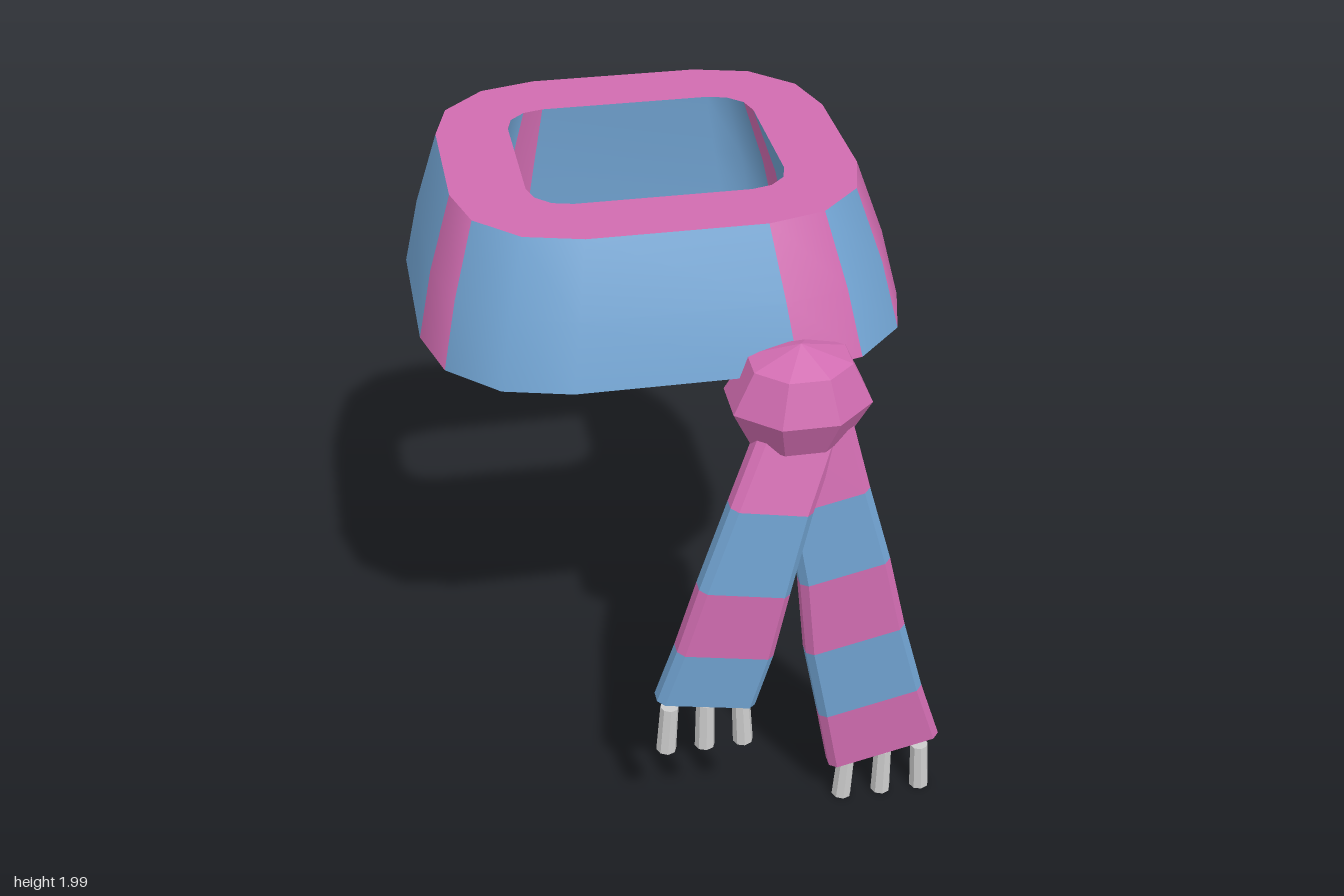
import * as THREE from 'three';

const mat = (color, flatShading = false) => new THREE.MeshStandardMaterial({ color, flatShading });
const BLUE = 0x70a2d0, PINK = 0xd06cb0, GREY = 0xcccccc;

function addMesh(parent, name, geometry, material) {
  const mesh = new THREE.Mesh(geometry, material);
  mesh.name = name;
  parent.add(mesh);
  return mesh;
}

// Skin a stack of closed rings, listed bottom to top; triangles are grouped by colour per column
function loft(rings, { closeEnds = false, colorOf = () => 0 } = {}) {
  const n = rings[0].length, index = [];
  const geo = new THREE.BufferGeometry().setFromPoints(rings.flat());
  for (let i = 0; i < n; i++) {
    const j = (i + 1) % n, start = index.length;
    for (let r = 0; r < rings.length - 1; r++) {
      const a = r * n, b = a + n;
      index.push(a + i, b + i, b + j, a + i, b + j, a + j);
    }
    if (closeEnds && i > 0 && i < n - 1) {
      const t = (rings.length - 1) * n;
      index.push(0, i, j, t, t + j, t + i);
    }
    geo.addGroup(start, index.length - start, colorOf(i));
  }
  geo.setIndex(index);
  geo.computeVertexNormals();
  return geo;
}

// Rounded rectangle with three facets on each corner
function collarRing({ y, hx, hz, r, z }, inset) {
  const pts = [];
  [[1, 1], [-1, 1], [-1, -1], [1, -1]].forEach(([sx, sz], c) => {
    for (let j = 0; j < 4; j++) {
      const a = (c * 3 + j) * Math.PI / 6;
      pts.push(new THREE.Vector3(
        -0.045 + sx * hx + (r - inset) * Math.cos(a), y,
        z + sz * hz + (r - inset) * Math.sin(a)));
    }
  });
  return pts;
}

function makeCollar() {
  const collar = new THREE.Group();
  collar.name = 'collar';
  const levels = [
    { y: 1.59, hx: 0.33, hz: 0.25, r: 0.405, z: -0.094 },
    { y: 1.79, hx: 0.298, hz: 0.233, r: 0.39, z: -0.12 },
    { y: 2.0, hx: 0.265, hz: 0.213, r: 0.35, z: -0.16 },
  ];
  const outer = levels.map(l => collarRing(l, 0));
  const inner = levels.map(l => collarRing(l, 0.225)).reverse();
  const pinkColumns = [0, 2, 6, 8, 10, 14];
  const colorOf = i => (pinkColumns.includes(i) ? 1 : 0);
  const wall = [mat(BLUE), mat(PINK)];
  addMesh(collar, 'collarOuterWall', loft(outer, { colorOf }), wall);
  addMesh(collar, 'collarInnerWall', loft(inner, { colorOf }), wall);
  addMesh(collar, 'collarTop', loft([outer[2], inner[0]]), [mat(PINK)]);
  addMesh(collar, 'collarUnderside', loft([inner[2], outer[0]]), [mat(PINK)]);
  return collar;
}

// Chamfered flat band cross-section, tilted in the front plane
function bandRing([x, y, z, width], tilt) {
  const w = width / 2, t = 0.043, c = 0.022;
  return [[w, -t + c], [w, t - c], [w - c, t], [c - w, t],
    [-w, t - c], [-w, c - t], [c - w, -t], [w - c, -t]]
    .map(([u, v]) => new THREE.Vector3(x + u * Math.cos(tilt), y + u * Math.sin(tilt), z + v));
}

// Hanging end: stations [x, y, z, width] from bottom to top, one stripe between each pair
function makeTail(name, stations, tilt, colors, fringe) {
  const tail = new THREE.Group();
  tail.name = name;
  const rings = stations.map(s => bandRing(s, tilt));
  colors.forEach((color, i) => {
    addMesh(tail, name + 'Stripe' + (i + 1),
      loft([rings[i], rings[i + 1]], { closeEnds: true }), [mat(color, true)]);
  });
  // Fringe strands fanning out slightly
  for (let k = -1; k <= 1; k++) {
    const strand = addMesh(tail, 'fringe',
      new THREE.CylinderGeometry(0.029, 0.032, 0.17, 8), mat(GREY, true));
    strand.position.set(fringe.x + k * fringe.step, fringe.y, fringe.z);
    strand.rotation.z = k * 0.06;
  }
  return tail;
}

export function createModel() {
  const scarf = new THREE.Group();
  scarf.name = 'scarf';
  scarf.add(makeCollar());

  // Faceted knot
  const knotShape = new THREE.SphereGeometry(1, 8, 4).rotateY(Math.PI / 8).scale(0.224, 0.18, 0.184);
  const knot = addMesh(scarf, 'knot', knotShape, mat(PINK, true));
  knot.position.set(0.28, 1.52, 0.57);
  knot.rotation.x = 0.06;

  scarf.add(makeTail('shortTail', [
    [-0.01, 0.515, 0.685, 0.316],
    [0.045, 0.71, 0.698, 0.307],
    [0.10, 0.94, 0.702, 0.285],
    [0.18, 1.215, 0.685, 0.255],
    [0.29, 1.46, 0.60, 0.24],
  ], -0.19, [BLUE, PINK, BLUE, PINK], { x: -0.01, y: 0.42, z: 0.69, step: 0.118 }));

  scarf.add(makeTail('longTail', [
    [0.59, 0.19, 0.637, 0.37],
    [0.53, 0.415, 0.65, 0.34],
    [0.465, 0.68, 0.66, 0.32],
    [0.42, 0.945, 0.66, 0.285],
    [0.36, 1.205, 0.645, 0.26],
    [0.31, 1.45, 0.60, 0.24],
  ], 0.22, [PINK, BLUE, PINK, BLUE, PINK], { x: 0.593, y: 0.092, z: 0.64, step: 0.127 }));

  return scarf;
}
